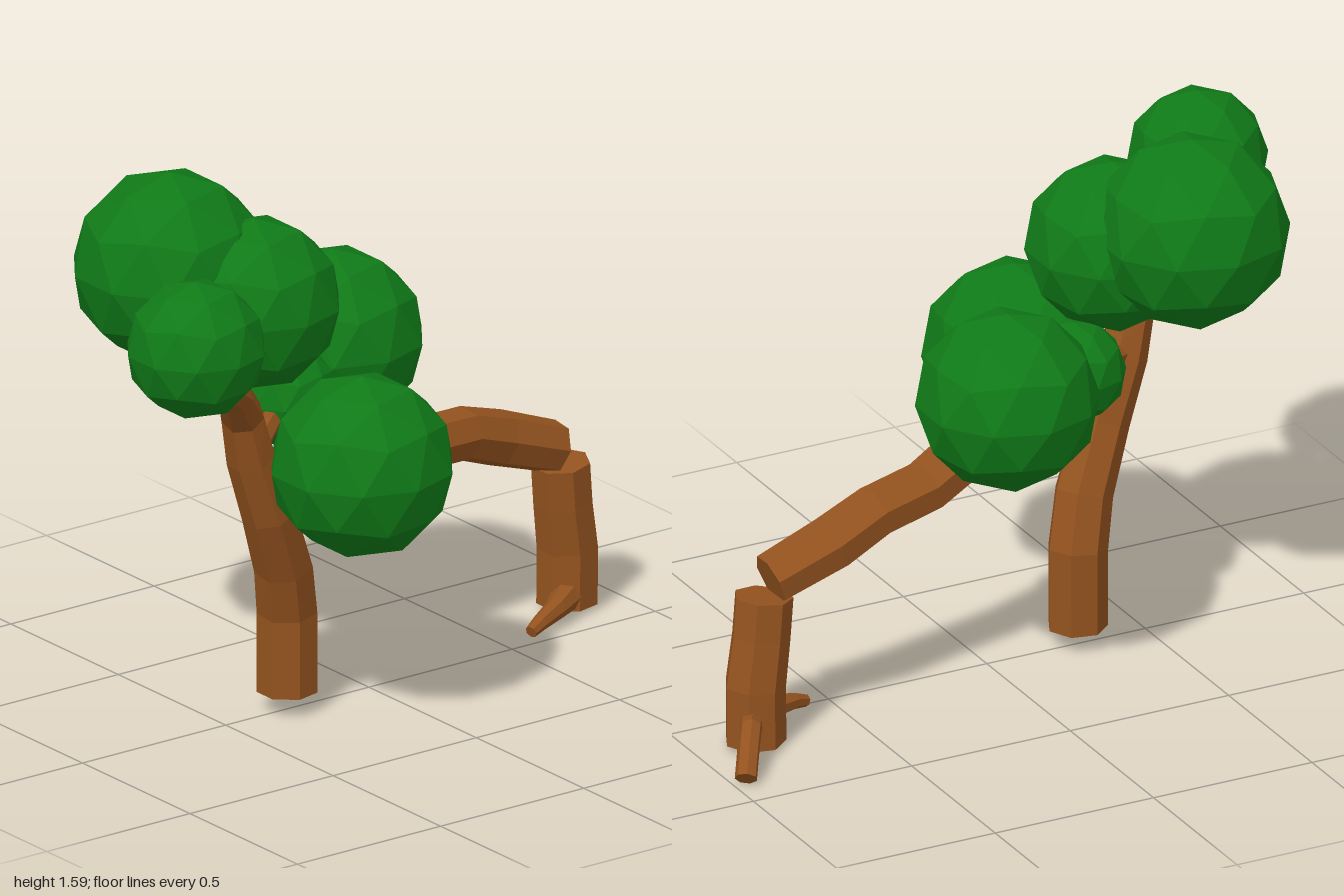
import * as THREE from 'three';

const bark = new THREE.MeshStandardMaterial({ color: 0x94531f, flatShading: true });
const leaf = new THREE.MeshStandardMaterial({ color: 0x107a18, flatShading: true });
const SIDES = 7;

// Low-poly limb: capped rings swept along points given as [x, y, z, radius].
function limb(name, points) {
  const p = points.map(([x, y, z]) => new THREE.Vector3(x, y, z));
  const pos = [], index = [], last = p.length - 1;
  let n = null;
  p.forEach((c, i) => {
    const t = new THREE.Vector3();
    if (i > 0) t.add(c.clone().sub(p[i - 1]).normalize());
    if (i < last) t.add(p[i + 1].clone().sub(c).normalize());
    t.normalize();
    if (!n) n = Math.abs(t.x) > 0.6 ? new THREE.Vector3(0, 0, 1) : new THREE.Vector3(1, 0, 0);
    n.addScaledVector(t, -n.dot(t)).normalize();
    const b = t.clone().cross(n);
    for (let j = 0; j < SIDES; j++) {
      const a = (j / SIDES) * Math.PI * 2, r = points[i][3];
      const v = c.clone().addScaledVector(n, r * Math.cos(a)).addScaledVector(b, r * Math.sin(a));
      pos.push(v.x, v.y, v.z);
    }
  });
  const start = pos.length / 3;
  pos.push(...p[0].toArray(), ...p[last].toArray());
  for (let j = 0; j < SIDES; j++) {
    const k = (j + 1) % SIDES, e = last * SIDES;
    for (let i = 0; i < last; i++) {
      const a = i * SIDES, b = a + SIDES;
      index.push(a + j, a + k, b + k, a + j, b + k, b + j);
    }
    index.push(start, k, j, start + 1, e + j, e + k);
  }
  const geo = new THREE.BufferGeometry();
  geo.setAttribute('position', new THREE.Float32BufferAttribute(pos, 3));
  geo.setIndex(index);
  geo.computeVertexNormals();
  const mesh = new THREE.Mesh(geo, bark);
  mesh.name = name;
  return mesh;
}

// Faceted ball of leaves with a vertex at the top.
function foliage(name, x, y, z, r) {
  const geo = new THREE.IcosahedronGeometry(r, 1);
  geo.rotateX(-Math.atan((1 + Math.sqrt(5)) / 2)).rotateY(-Math.PI / 2);
  const mesh = new THREE.Mesh(geo, leaf);
  mesh.name = name;
  mesh.position.set(x, y, z);
  return mesh;
}

export function createModel() {
  const tree = new THREE.Group();
  tree.name = 'bentTree';

  // Leaning trunk and the long drooping branch
  tree.add(
    limb('trunk', [
      [-0.285, 0.06, 0, 0.087], [-0.285, 0.3, 0, 0.087], [-0.32, 0.45, 0.03, 0.085],
      [-0.4, 0.64, 0.07, 0.08], [-0.47, 0.82, 0.08, 0.072], [-0.515, 0.96, 0.1, 0.062],
      [-0.6, 1.06, 0.18, 0.05], [-0.69, 1.125, 0.26, 0.032],
    ]),
    limb('longBranch', [
      [-0.42, 0.7, 0.06, 0.025], [-0.25, 0.745, 0.03, 0.06], [-0.05, 0.745, -0.02, 0.077],
      [0.1, 0.7, -0.06, 0.08], [0.25, 0.64, -0.1, 0.078], [0.43, 0.62, -0.14, 0.078],
      [0.58, 0.565, -0.165, 0.082], [0.77, 0.497, -0.165, 0.076],
    ]),
  );

  // Twigs carrying the foliage
  tree.add(
    limb('topTwig', [[-0.51, 0.99, 0.1, 0.04], [-0.55, 1.1, 0.03, 0.03], [-0.57, 1.18, -0.04, 0.02]]),
    limb('innerTwig', [[-0.46, 0.83, 0.07, 0.04], [-0.36, 0.86, 0, 0.035], [-0.24, 0.89, -0.08, 0.025]]),
    limb('frontTwig', [[-0.12, 0.72, 0, 0.045], [-0.18, 0.76, 0.1, 0.03], [-0.23, 0.8, 0.2, 0.02]]),
  );

  // Broken-off post with two roots
  tree.add(
    limb('post', [
      [0.825, 0.02, -0.177, 0.088], [0.825, 0.19, -0.175, 0.088],
      [0.802, 0.33, -0.165, 0.085], [0.79, 0.45, -0.16, 0.085],
    ]),
    limb('frontRoot', [
      [0.79, 0.06, -0.13, 0.045], [0.71, 0.055, -0.075, 0.032],
      [0.63, 0.043, -0.04, 0.024], [0.585, 0.028, -0.025, 0.018],
    ]),
    limb('backRoot', [
      [0.86, 0.1, -0.22, 0.035], [0.895, 0.115, -0.285, 0.032],
      [0.93, 0.09, -0.34, 0.032], [0.972, 0.027, -0.403, 0.032],
    ]),
  );

  // Leaf balls
  tree.add(
    foliage('rightFoliage', -0.81, 1.28, 0.275, 0.2),
    foliage('topFoliage', -0.53, 1.315, -0.22, 0.28),
    foliage('middleFoliage', -0.38, 1.23, -0.03, 0.25),
    foliage('frontFoliage', -0.235, 0.805, 0.28, 0.265),
    foliage('backFoliage', 0.08, 0.95, -0.275, 0.262),
    foliage('innerFoliage', -0.22, 0.9, -0.1, 0.15),
  );
  return tree;
}
